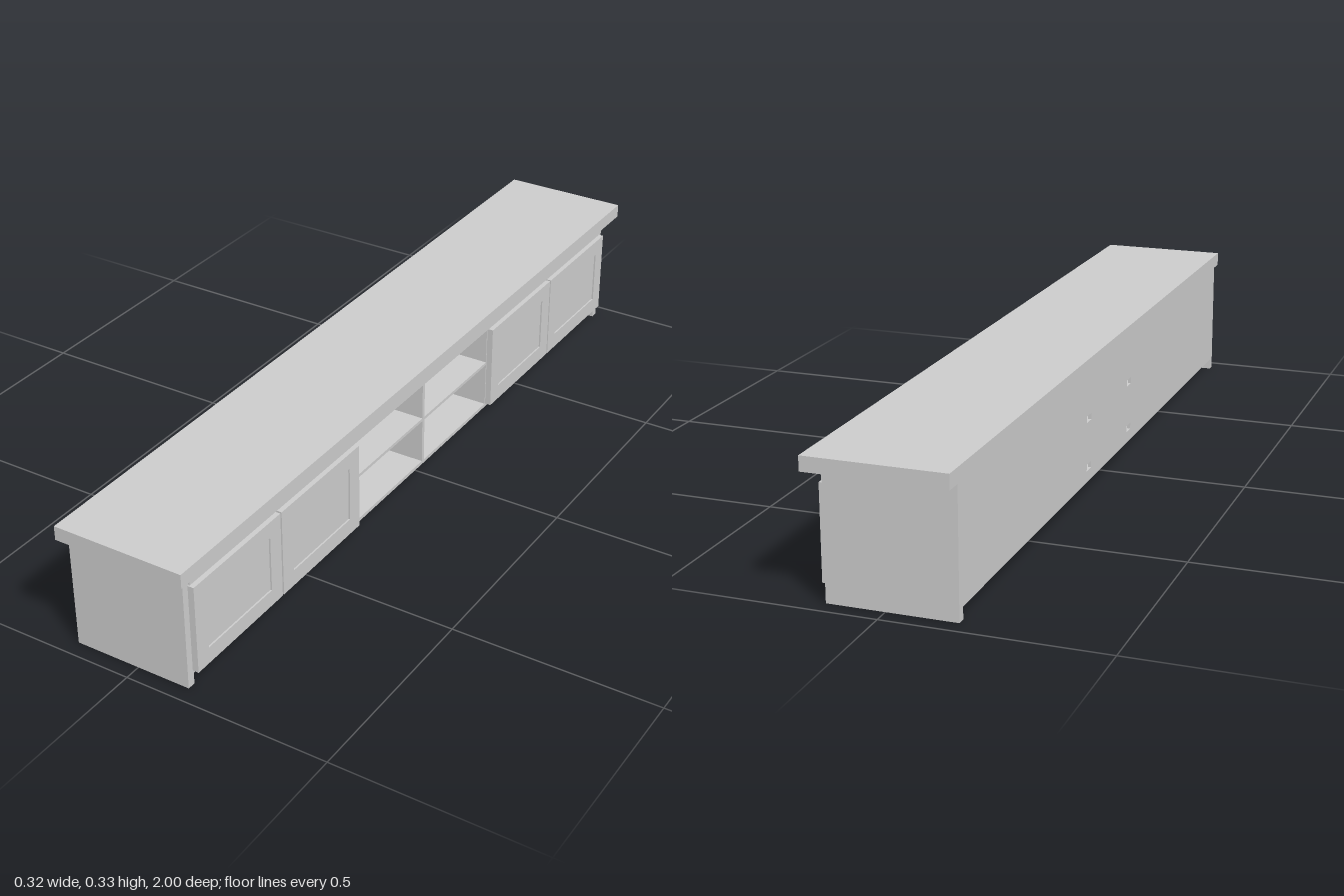
import * as THREE from 'three';

const material = new THREE.MeshStandardMaterial({ color: 0xcccccc });

// Box given by its min and max on each axis
function board(name, [x0, x1], [y0, y1], [z0, z1]) {
  const mesh = new THREE.Mesh(new THREE.BoxGeometry(x1 - x0, y1 - y0, z1 - z0), material);
  mesh.position.set((x0 + x1) / 2, (y0 + y1) / 2, (z0 + z1) / 2);
  mesh.name = name;
  return mesh;
}

function trace(path, w, h, u = 0, v = 0) {
  path.moveTo(u - w / 2, v - h / 2);
  path.lineTo(u + w / 2, v - h / 2);
  path.lineTo(u + w / 2, v + h / 2);
  path.lineTo(u - w / 2, v + h / 2);
  path.closePath();
  return path;
}

// Upright sheet facing x with rectangular holes, each [u, v, width, height]
function sheet(name, w, h, depth, holes) {
  const shape = trace(new THREE.Shape(), w, h);
  for (const [u, v, hw, hh] of holes) shape.holes.push(trace(new THREE.Path(), hw, hh, u, v));
  const geometry = new THREE.ExtrudeGeometry(shape, { depth, bevelEnabled: false });
  geometry.rotateY(Math.PI / 2);
  const mesh = new THREE.Mesh(geometry, material);
  mesh.name = name;
  return mesh;
}

// Framed door with a recessed centre panel
function door(z) {
  const w = 0.312, h = 0.218, border = 0.04;
  const group = new THREE.Group();
  group.name = 'door';
  const innerW = w - 2 * border, innerH = h - 2 * border;
  group.add(
    sheet('doorFrame', w, h, 0.015, [[0, 0, innerW, innerH]]),
    board('doorPanel', [0.002, 0.011], [-innerH / 2, innerH / 2], [-innerW / 2, innerW / 2])
  );
  group.position.set(0.132, 0.145, z);
  return group;
}

export function createModel() {
  const model = new THREE.Group();
  model.name = 'lowCabinet';
  const back = -0.161, front = 0.132, top = 0.293, floor = 0.037;
  const inside = 0.941, backThickness = 0.008;
  const depth = [back + backThickness, front];

  model.add(board('tableTop', [back, 0.161], [top, 0.327], [-1, 1]));
  model.add(board('bottomPanel', [back, front], [0.028, floor], [-inside, inside]));
  model.add(board('topRail', [0.12, 0.135], [0.254, top], [-inside, inside]));
  model.add(board('centreDivider', depth, [floor, top], [-0.005, 0.005]));
  model.add(board('shelf', depth, [0.151, 0.159], [-0.312, 0.312]));

  // Back panel with four cable slots
  const midY = (floor + top) / 2;
  const slots = [];
  for (const z of [-0.155, 0.155])
    for (const y of [0.064, 0.183]) slots.push([z, y - midY, 0.032, 0.016]);
  const backPanel = sheet('backPanel', 2 * inside, top - floor, backThickness, slots);
  backPanel.position.set(back, midY, 0);
  model.add(backPanel);

  // Sides, partitions and doors, mirrored about the middle
  for (const s of [-1, 1]) {
    const span = (a, b) => (s > 0 ? [a, b] : [-b, -a]);
    model.add(board('sidePanel', [back, front], [0, top], span(inside, 0.961)));
    model.add(board('partition', depth, [floor, top], span(0.312, 0.326)));
    model.add(door(s * 0.471), door(s * 0.788));
  }
  return model;
}
